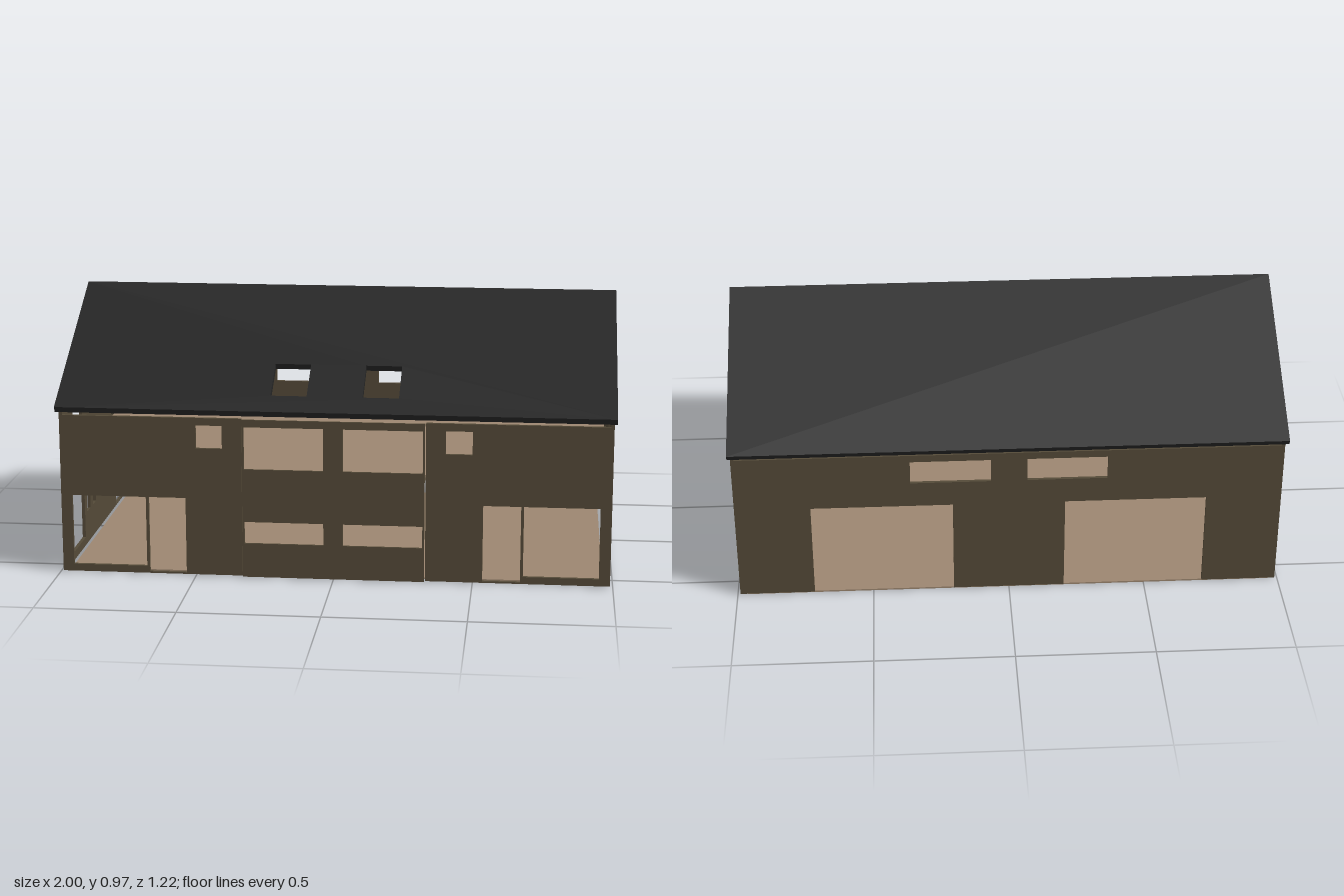
import * as THREE from 'three';

const T = 0.012; // wall thickness

export function createModel() {
  const house = new THREE.Group();
  house.name = 'house';
  const wallMat = new THREE.MeshStandardMaterial({ color: 0x544a38 });
  wallMat.name = 'brown wall';
  const floorMat = new THREE.MeshStandardMaterial({ color: 0x9c8670 });
  floorMat.name = 'tan floor';
  const roofMat = new THREE.MeshStandardMaterial({ color: 0x252525 });
  roofMat.name = 'black roof';

  // Flat slab from an outline, with rectangular holes [x0, x1, y0, y1]
  const slab = (outline, holes, depth) => {
    const shape = new THREE.Shape(outline.map(([x, y]) => new THREE.Vector2(x, y)));
    for (const [a, b, c, d] of holes) {
      shape.holes.push(new THREE.Path([[a, c], [a, d], [b, d], [b, c]].map(([x, y]) => new THREE.Vector2(x, y))));
    }
    return new THREE.ExtrudeGeometry(shape, { depth, bevelEnabled: false });
  };
  const add = (name, geometry, material) => {
    const mesh = new THREE.Mesh(geometry, material);
    mesh.name = name;
    house.add(mesh);
    return mesh;
  };
  const rect = (a, b, c, d) => [[a, c], [b, c], [b, d], [a, d]];
  const mirrorX = ([a, b, c, d]) => [-b, -a, c, d];

  // Floors
  add('groundFloor', new THREE.BoxGeometry(1.93, 0.006, 1.13).translate(0, 0.003, -0.017), floorMat);
  add('upperFloor', new THREE.BoxGeometry(1.96, 0.01, 1.14).translate(0, 0.38, 0), floorMat);

  // Gable walls, drawn with z running to the right, then turned
  const gableHoles = [
    [0.27, 0.42, 0.455, 0.615], [-0.42, -0.19, 0.455, 0.615],
    [0.27, 0.54, 0.035, 0.29], [0.175, 0.235, 0.125, 0.29],
    [0.08, 0.135, 0.125, 0.29], [-0.42, -0.28, 0.01, 0.29],
  ];
  const gable = [[-0.585, 0.004], [0.585, 0.004], [0.585, 0.605], [0, 0.944], [-0.585, 0.605]];
  for (const [name, x] of [['leftGableWall', 0.99], ['rightGableWall', -0.99 + T]]) {
    const mesh = add(name, slab(gable, gableHoles, T), wallMat);
    mesh.rotation.y = -Math.PI / 2;
    mesh.position.x = x;
  }

  // Front side walls, either side of the projecting panel
  const sideHoles = [[0.535, 0.67, 0.01, 0.29], [0.68, 0.95, 0.03, 0.29], [0.4, 0.495, 0.475, 0.56]];
  const side = [0.33, 0.978, 0.004, 0.587];
  add('leftFrontWall', slab(rect(...side), sideHoles, T), wallMat).position.z = 0.585 - T;
  add('rightFrontWall', slab(rect(...mirrorX(side)), sideHoles.map(mirrorX), T), wallMat).position.z = 0.585 - T;

  // Central front panel with four windows
  const panelHoles = [[0.035, 0.32, 0.405, 0.56], [0.035, 0.32, 0.13, 0.21]];
  add('frontPanel', slab(rect(-0.327, 0.327, 0.004, 0.587), [...panelHoles, ...panelHoles.map(mirrorX)], 0.007), wallMat)
    .position.z = 0.59;

  // Back wall: two wide doorways open to the ground, two high windows
  const back = [
    [-0.978, 0.004], [-0.717, 0.004], [-0.717, 0.373], [-0.203, 0.373], [-0.203, 0.004],
    [0.203, 0.004], [0.203, 0.373], [0.717, 0.373], [0.717, 0.004], [0.978, 0.004],
    [0.978, 0.587], [-0.978, 0.587],
  ];
  const backWindow = [0.065, 0.355, 0.47, 0.56];
  add('backWall', slab(back, [backWindow, mirrorX(backWindow)], T), wallMat).position.z = -0.585;

  // Roof slopes: drawn from the ridge down (negative y), tilted about the ridge
  const slope = Math.atan2(0.35, 0.612);
  const length = 0.705, thick = 0.024;
  const skylight = [0.1, 0.23, -0.62, -0.45];
  for (const [name, turn, holes] of [
    ['frontRoof', 0, [skylight, mirrorX(skylight)]],
    ['backRoof', Math.PI, []],
  ]) {
    const geometry = slab(rect(-1, 1, -length, 0), holes, thick);
    geometry.translate(0, 0, -thick);
    // mitre the inner ridge edge so both slopes meet cleanly
    const p = geometry.attributes.position;
    for (let i = 0; i < p.count; i++) {
      if (p.getY(i) === 0 && p.getZ(i) < -0.01) p.setY(i, -thick * Math.tan(slope));
    }
    geometry.rotateX(-(Math.PI / 2 - slope));
    geometry.rotateY(turn);
    geometry.computeVertexNormals();
    add(name, geometry, roofMat).position.y = 0.972;
  }
  return house;
}
